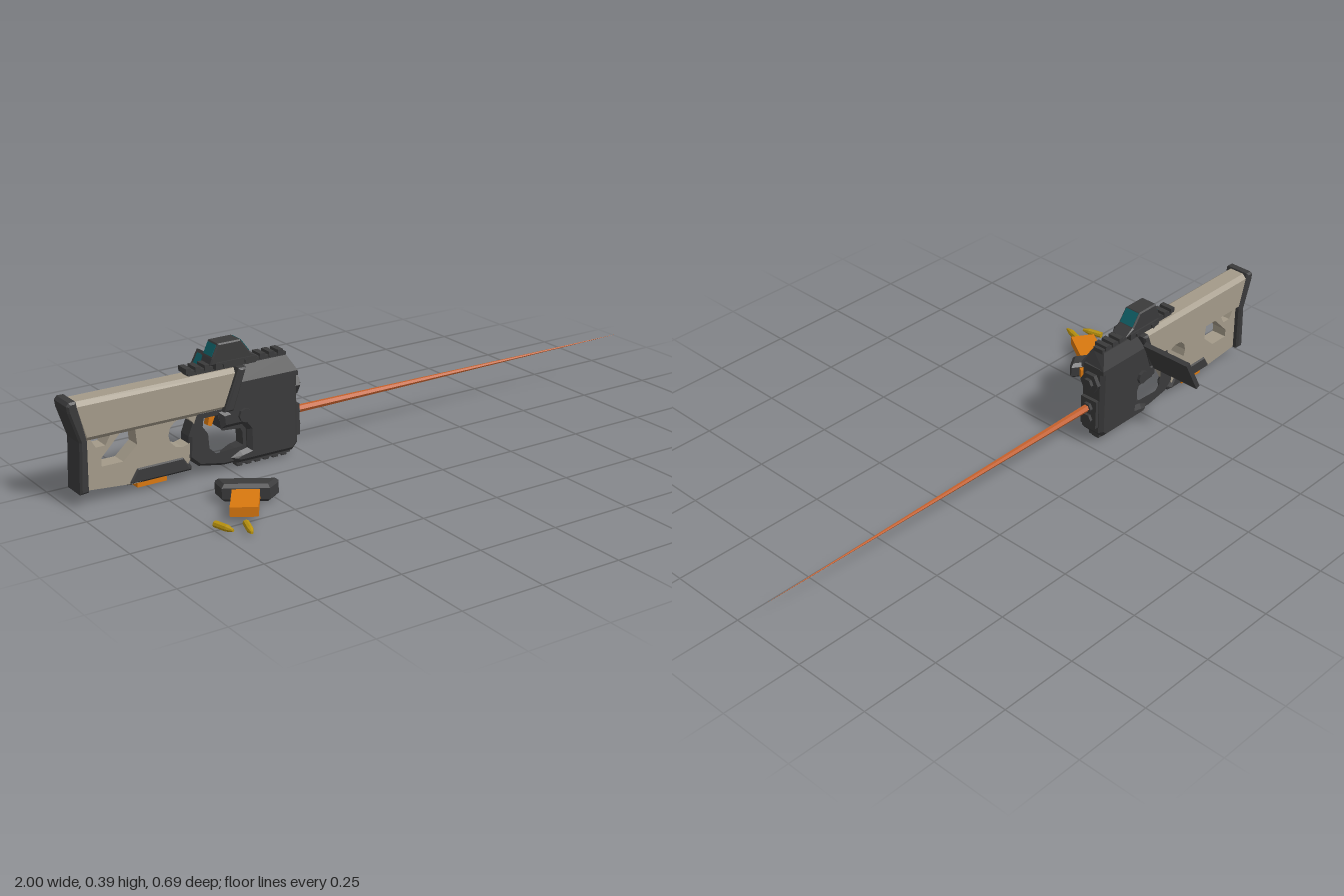
import * as THREE from 'three';

const mat = (color) => new THREE.MeshStandardMaterial({ color, flatShading: true });
const DARK = mat(0x3a3a3b), TAN = mat(0xa39a89), ORANGE = mat(0xd9780f);
const GOLD = mat(0xb8920f), TEAL = mat(0x0f5f66), BEAM = mat(0xc4602c);

function add(parent, name, geometry, material, x = 0, y = 0, z = 0) {
  const mesh = new THREE.Mesh(geometry, material);
  mesh.name = name;
  mesh.position.set(x, y, z);
  parent.add(mesh);
  return mesh;
}
const box = (w, h, d) => new THREE.BoxGeometry(w, h, d);

// Side profile extruded to a full width, centred on z, with an inset chamfer
function slab(points, width, bevel = 0, holes = []) {
  const shape = new THREE.Shape(points.map((p) => new THREE.Vector2(...p)));
  for (const h of holes) shape.holes.push(new THREE.Path(h.map((p) => new THREE.Vector2(...p))));
  const depth = width - 2 * bevel;
  const g = new THREE.ExtrudeGeometry(shape, {
    depth, bevelEnabled: bevel > 0, bevelSize: bevel, bevelThickness: bevel,
    bevelOffset: -bevel, bevelSegments: 1,
  });
  return g.translate(0, 0, -depth / 2);
}
const ring = (x, y, r, n) => Array.from({ length: n }, (_, i) => {
  const a = (i / n) * Math.PI * 2;
  return [x + r * Math.cos(a), y + r * Math.sin(a)];
});
// Six-sided disc facing +x
const hex = (r, h) => new THREE.CylinderGeometry(r, r, h, 6).rotateZ(-Math.PI / 2);

// Magazine: +y points into the weapon
function magazine(name) {
  const g = new THREE.Group();
  g.name = name;
  add(g, 'magazineBase', slab([[-0.087, 0], [0.087, 0], [0.088, 0.014], [0.066, 0.06], [-0.066, 0.06], [-0.088, 0.014]], 0.052, 0.01), DARK);
  add(g, 'magazineBody', box(0.077, 0.15, 0.028), ORANGE, 0, 0.11);
  add(g, 'magazineFoot', box(0.08, 0.036, 0.028), ORANGE, 0.02, 0);
  return g;
}

function cartridge(name, x, z, angle) {
  const g = new THREE.Group();
  g.name = name;
  const profile = [[0, 0], [0.01, 0], [0.01, 0.045], [0.004, 0.068], [0, 0.068]].map((p) => new THREE.Vector2(...p));
  add(g, 'casing', new THREE.LatheGeometry(profile, 8).rotateX(Math.PI / 2), GOLD);
  g.position.set(x, 0.013, z);
  g.rotation.y = angle;
  return g;
}

export function createModel() {
  const model = new THREE.Group();
  const gun = new THREE.Group();
  gun.name = 'weapon';
  gun.position.z = -0.124;
  model.add(gun);

  // Receiver
  add(gun, 'receiver', slab([
    [-0.277, 0.267], [-0.277, 0.04], [-0.295, 0.02], [-0.48, 0.02], [-0.5, 0.04], [-0.47, 0.055], [-0.445, 0.06],
    [-0.445, 0.115], [-0.46, 0.135], [-0.53, 0.135], [-0.535, 0.185], [-0.51, 0.187], [-0.478, 0.267],
  ], 0.088, 0.012), DARK);
  const top = slab([[-0.044, 0.25], [0.044, 0.25], [0.044, 0.265], [0.022, 0.31], [-0.022, 0.31], [-0.044, 0.265]], 0.195).rotateY(Math.PI / 2);
  const p = top.attributes.position;
  for (let i = 0; i < p.count; i++) if (p.getX(i) > 0 && p.getY(i) > 0.3) p.setX(i, p.getX(i) - 0.025);
  top.computeVertexNormals();
  add(gun, 'receiverTop', top, DARK, -0.375);

  // Trigger guard and grip post
  add(gun, 'triggerGuard', slab([
    [-0.44, 0.02], [-0.52, 0.02], [-0.6, 0.035], [-0.632, 0.065], [-0.628, 0.13], [-0.6, 0.2], [-0.52, 0.2], [-0.44, 0.13],
  ], 0.06, 0.008, [[[-0.59, 0.185], [-0.53, 0.185], [-0.52, 0.135], [-0.46, 0.13], [-0.45, 0.11], [-0.45, 0.06], [-0.55, 0.055], [-0.575, 0.08], [-0.578, 0.125], [-0.595, 0.15]]]), DARK);
  add(gun, 'trigger', slab([[-0.565, 0.2], [-0.54, 0.2], [-0.535, 0.17], [-0.548, 0.14], [-0.56, 0.145], [-0.555, 0.165]], 0.022), ORANGE);

  // Diagonal trim and pivot knobs on both sides
  add(gun, 'sideTrim', slab([[-0.475, 0.31], [-0.45, 0.31], [-0.495, 0.187], [-0.525, 0.187]], 0.106, 0.006), DARK);
  add(gun, 'pivotKnob', new THREE.CylinderGeometry(0.021, 0.021, 0.106, 8).rotateX(Math.PI / 2), DARK, -0.458, 0.166);

  // Muzzle plate and hexagonal ports
  add(gun, 'muzzlePlate', box(0.03, 0.096, 0.06), DARK, -0.28, 0.108);
  add(gun, 'barrelPort', hex(0.018, 0.014), DARK, -0.262, 0.128);
  add(gun, 'lowerPort', hex(0.018, 0.014), DARK, -0.262, 0.088);
  add(gun, 'frontBoss', hex(0.035, 0.016), DARK, -0.272, 0.214);
  add(gun, 'frontBossCap', hex(0.018, 0.02), DARK, -0.263, 0.214);

  // Beam
  add(gun, 'beam', new THREE.ConeGeometry(0.012, 1.27, 6).rotateZ(-Math.PI / 2), BEAM, 0.365, 0.128);

  // Lower teeth and top rail
  add(gun, 'lowerRail', box(0.18, 0.016, 0.04), DARK, -0.385, 0.017);
  for (let i = 0; i < 6; i++) add(gun, 'lowerTooth', box(0.017, 0.014, 0.026), DARK, -0.46 + i * 0.03, 0.007);
  add(gun, 'topRail', box(0.32, 0.014, 0.036), DARK, -0.46, 0.312);
  for (const x of [-0.62, -0.59, -0.56, -0.38, -0.35, -0.32]) add(gun, 'railTooth', box(0.017, 0.016, 0.044), DARK, x, 0.321);

  // Optical sight
  add(gun, 'sightBody', slab([[-0.555, 0.325], [-0.548, 0.345], [-0.528, 0.386], [-0.455, 0.386], [-0.425, 0.345], [-0.395, 0.325]], 0.058, 0.004), DARK);
  add(gun, 'sightMount', box(0.13, 0.02, 0.068), DARK, -0.475, 0.322);
  for (const x of [-0.51, -0.44]) add(gun, 'mountScrew', new THREE.CylinderGeometry(0.009, 0.009, 0.08, 6).rotateX(Math.PI / 2), DARK, x, 0.322);
  const front = add(gun, 'frontLens', box(0.003, 0.046, 0.048), TEAL, -0.4395, 0.3655);
  front.rotation.z = Math.atan2(0.03, 0.041);
  const rear = add(gun, 'rearLens', box(0.003, 0.036, 0.046), TEAL, -0.538, 0.3655);
  rear.rotation.z = -Math.atan2(0.02, 0.041);

  // Tilted display on the far side
  const display = new THREE.Group();
  display.name = 'display';
  display.position.set(-0.48, 0.237, -0.138);
  display.rotation.z = -0.49;
  add(display, 'displayCase', box(0.015, 0.12, 0.168), DARK);
  add(display, 'displayScreen', box(0.002, 0.1, 0.146), TEAL, -0.0075);
  gun.add(display);

  // Stock
  add(gun, 'stockCheek', slab([[-0.985, 0.305], [-0.462, 0.305], [-0.508, 0.187], [-0.955, 0.187]], 0.076, 0.014), TAN);
  add(gun, 'stockFrame', slab([
    [-0.968, 0.22], [-0.6, 0.22], [-0.605, 0.1], [-0.64, 0.04], [-0.8, 0.03], [-0.968, 0.045],
  ], 0.05, 0, [
    ring(-0.9, 0.187, 0.029, 6),
    [[-0.9, 0.103], [-0.835, 0.103], [-0.79, 0.143], [-0.795, 0.198], [-0.83, 0.198], [-0.9, 0.128]],
    ring(-0.65, 0.147, 0.043, 12),
  ]), TAN);
  add(gun, 'buttPad', slab([
    [-1, 0.3], [-0.992, 0.31], [-0.972, 0.31], [-0.945, 0.19], [-0.948, 0.042], [-0.975, 0.04], [-0.968, 0.19], [-0.997, 0.28],
  ], 0.086, 0.006), DARK);

  // Fitted magazine
  const fitted = magazine('fittedMagazine');
  fitted.position.set(-0.722, 0.027, 0);
  fitted.rotation.y = Math.PI;
  fitted.scale.set(1.15, 0.85, 1.15);
  fitted.children[1].scale.y = 0.25;
  fitted.children[1].position.y = 0.03;
  gun.add(fitted);

  // Loose magazine lying flat, with two cartridges
  const loose = magazine('looseMagazine');
  const c = 0.838, s = 0.546;
  loose.applyMatrix4(new THREE.Matrix4().makeBasis(
    new THREE.Vector3(c, 0, s), new THREE.Vector3(-s, 0, c), new THREE.Vector3(0, -1, 0)));
  loose.position.set(-0.556, 0.03, 0.091);
  model.add(loose);
  model.add(cartridge('cartridgeA', -0.74, 0.235, 0.25), cartridge('cartridgeB', -0.67, 0.277, -0.3));
  return model;
}
